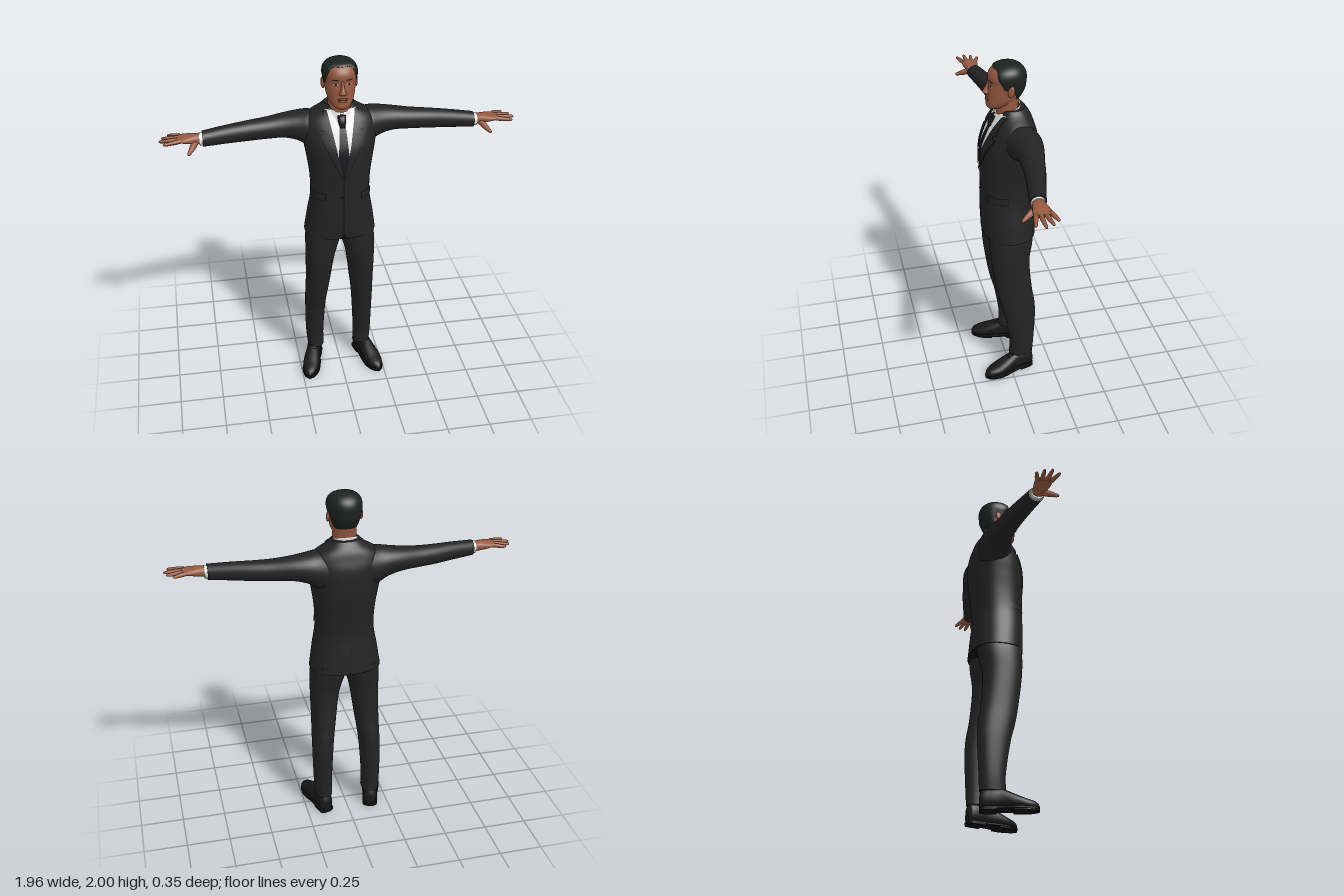
import * as THREE from 'three';

const mat = (name, color) => Object.assign(new THREE.MeshStandardMaterial({ color }), { name });
const M = {
  suit: mat('suit charcoal', 0x232323), seam: mat('seam black', 0x0e0e0e), shirt: mat('shirt white', 0xeeeeee),
  tie: mat('tie black', 0x15161a), skin: mat('skin brown', 0x96593f), lip: mat('lip brown', 0x7c4237),
  hair: mat('hair black', 0x1d2120), eye: mat('eye white', 0xb9aaa0), shoe: mat('shoe black', 0x181818),
};
M.shirt.side = THREE.DoubleSide;
M.suit.side = THREE.DoubleSide;

// Grid surface from f(u, v); wrapped in u and capped unless told otherwise
function surf(nu, nv, f, wrap = true) {
  const pos = [], idx = [], w = wrap ? nu : nu + 1;
  for (let j = 0; j <= nv; j++) for (let i = 0; i < w; i++) pos.push(...f(i / nu, j / nv));
  for (let j = 0; j < nv; j++) for (let i = 0; i < nu; i++) {
    const a = j * w + i, b = j * w + (i + 1) % w;
    idx.push(a, b, b + w, a, b + w, a + w);
  }
  if (wrap) for (const j of [0, nv]) {
    const base = pos.length / 3, c = [0, 0, 0];
    for (let i = 0; i < w; i++) for (let k = 0; k < 3; k++) {
      const q = pos[(j * w + i) * 3 + k];
      pos.push(q);
      c[k] += q / w;
    }
    pos.push(...c);
    for (let i = 0; i < w; i++) {
      const a = base + i, b = base + (i + 1) % w;
      j ? idx.push(base + w, a, b) : idx.push(base + w, b, a);
    }
  }
  const g = new THREE.BufferGeometry();
  g.setAttribute('position', new THREE.Float32BufferAttribute(pos, 3));
  g.setIndex(idx);
  g.computeVertexNormals();
  return g;
}

// Smooth interpolation of section rows [s, a0, a1, b0, b1]
function sample(rows, s) {
  const n = rows.length - 1;
  let i = 0;
  while (i < n - 1 && s > rows[i + 1][0]) i++;
  const h = rows[i + 1][0] - rows[i][0], t = Math.min(1, Math.max(0, (s - rows[i][0]) / h));
  const slope = (k, c) => {
    const p = rows[Math.max(0, k - 1)], q = rows[Math.min(n, k + 1)];
    return (q[c] - p[c]) / (q[0] - p[0]);
  };
  return [1, 2, 3, 4].map(c => rows[i][c] * (1 + 2 * t) * (1 - t) ** 2 + rows[i + 1][c] * t * t * (3 - 2 * t)
    + h * (slope(i, c) * t * (1 - t) ** 2 + slope(i + 1, c) * t * t * (t - 1)));
}

// Body with superellipse sections along an axis (0 x, 1 y, 2 z); a and b are the next two axes
function body(axis, p, rows) {
  const A = (axis + 1) % 3, B = (axis + 2) % 3;
  const pw = c => Math.sign(c) * Math.abs(c) ** (2 / p);
  const at = (th, s, off = 0) => {
    const [a0, a1, b0, b1] = sample(rows, s), q = [0, 0, 0];
    q[axis] = s;
    q[A] = (a0 + a1) / 2 + ((a1 - a0) / 2 + off) * pw(Math.cos(th));
    q[B] = (b0 + b1) / 2 + ((b1 - b0) / 2 + off) * pw(Math.sin(th));
    return q;
  };
  const s0 = rows[0][0], s1 = rows[rows.length - 1][0];
  return {
    at,
    geo: (nu = 40, nv = 30, e0 = s0, e1 = s1) => surf(nu, nv, (u, v) => at(u * 2 * Math.PI, e0 + (e1 - e0) * v)),
    // Plate on the front between two x curves
    front: (y0, y1, xl, xr, off, nu = 8, nv = 28) => surf(nu, nv, (u, v) => {
      const y = y0 + (y1 - y0) * v, [z0, z1, , rx] = sample(rows, y), x = xl(y) + (xr(y) - xl(y)) * u;
      const k = Math.max(0, 1 - Math.abs(x / (rx + off)) ** p) ** (1 / p);
      return [x, y, (z0 + z1) / 2 + ((z1 - z0) / 2 + off) * k];
    }, false),
    // Plate wrapped between two angles in degrees, 0 at the front
    wrap: (t0, t1, y0, y1, off) => surf(16, 10, (u, v) => at((t0 + (t1 - t0) * u) * Math.PI / 180, y0 + (y1 - y0) * v, off), false),
  };
}

function mirrored(g) {
  const m = g.clone().scale(-1, 1, 1), ix = m.index.array;
  for (let i = 0; i < ix.length; i += 3) [ix[i], ix[i + 1]] = [ix[i + 1], ix[i]];
  m.computeVertexNormals();
  return m;
}

// Linear lookup in [x, y] pairs
function lookup(tab, x) {
  let i = 0;
  while (i < tab.length - 2 && x > tab[i + 1][0]) i++;
  return THREE.MathUtils.mapLinear(x, tab[i][0], tab[i + 1][0], tab[i][1], tab[i + 1][1]);
}

// Tapered round-ended digit between two points
function digit(from, to, r0, r1) {
  const a = new THREE.Vector3(...from), d = new THREE.Vector3(...to).sub(a), L = d.length();
  const prof = [[r0, 0], [r0 * 0.95, 0.4], [r1, 0.85], [r1 * 0.75, 0.95], [0.0001, 1]].map(([r, t]) => new THREE.Vector2(r, t * L));
  return new THREE.LatheGeometry(prof, 12)
    .applyQuaternion(new THREE.Quaternion().setFromUnitVectors(new THREE.Vector3(0, 1, 0), d.normalize())).translate(...from);
}

export function createModel() {
  const root = new THREE.Group();
  root.name = 'suitedMan';
  const add = (name, geo, m) => {
    const mesh = new THREE.Mesh(geo, m);
    mesh.name = name;
    root.add(mesh);
  };
  const both = (name, geo, m) => { add(name + 'Left', geo, m); add(name + 'Right', mirrored(geo), m); };

  // Jacket
  const torso = body(1, 2.3, [
    [0.965, -0.165, 0.135, -0.205, 0.205], [1.08, -0.155, 0.14, -0.188, 0.188], [1.2, -0.145, 0.14, -0.168, 0.168],
    [1.32, -0.156, 0.14, -0.17, 0.17], [1.43, -0.17, 0.14, -0.185, 0.185], [1.52, -0.173, 0.13, -0.2, 0.2],
    [1.6, -0.168, 0.1, -0.205, 0.205], [1.655, -0.152, 0.072, -0.195, 0.195], [1.69, -0.14, 0.052, -0.155, 0.155],
    [1.715, -0.125, 0.04, -0.11, 0.11], [1.742, -0.105, 0.028, -0.082, 0.082]]);
  add('jacket', torso.geo(64, 60), M.suit);
  const vEdge = y => 0.004 + Math.max(0, y - 1.355) * 0.2;
  const lapelTab = [[1.355, 0.006], [1.45, 0.055], [1.6, 0.125], [1.612, 0.09], [1.618, 0.09], [1.622, 0.115], [1.7, 0.098], [1.725, 0.09]];
  const lapel = y => Math.max(vEdge(y) + 0.001, lookup(lapelTab, y));
  both('lapel', torso.front(1.355, 1.72, vEdge, lapel, 0.009, 8, 60), M.suit);
  both('lapelSeam', torso.front(1.355, 1.715, vEdge, y => lapel(y) + 0.005, 0.004, 8, 60), M.seam);
  add('frontOpening', torso.front(0.966, 1.355, y => -0.003 - 12 * Math.max(0, 1.01 - y) ** 2, y => 0.002 + 12 * Math.max(0, 1.01 - y) ** 2, 0.002), M.seam);
  both('pocketShadow', torso.wrap(33, 84, 1.208, 1.254, 0.002), M.seam);
  both('pocketFlap', torso.wrap(34, 83, 1.213, 1.251, 0.005), M.suit);
  add('backVent', torso.wrap(179.9, 180.1, 0.967, 1.18, 0.002), M.seam);
  add('hemEdge', torso.geo(64, 1, 0.962, 0.965), M.seam);
  add('button', new THREE.SphereGeometry(0.009, 12, 8).scale(1, 1, 0.4).translate(-0.012, 1.235, 0.142), M.seam);

  // Shirt front and tie
  add('shirtFront', torso.front(1.36, 1.72, y => -vEdge(y) - 0.01, y => vEdge(y) + 0.01, 0.003), M.shirt);
  const tieWidth = y => Math.min(vEdge(y) + 0.004, lookup([[1.36, 0.02], [1.48, 0.03], [1.66, 0.016]], y));
  add('tieBlade', torso.front(1.36, 1.66, y => -tieWidth(y), tieWidth, 0.007), M.tie);
  add('tieKnot', body(1, 2.6, [[1.635, 0.05, 0.096, -0.015, 0.015], [1.67, 0.04, 0.092, -0.022, 0.022],
    [1.698, 0.03, 0.076, -0.024, 0.024]]).geo(20, 8), M.tie);

  // Shirt collar, lower and pointed in front
  both('shirtCollar', surf(36, 6, (u, v) => {
    const th = (6 + 174 * u) * Math.PI / 180, c = Math.cos(th), flare = 1 - v;
    const top = 1.738 - 0.024 * c, drop = 0.042 + 0.03 * Math.exp(-(((th - 0.42) / 0.35) ** 2));
    return [(0.071 + 0.012 * flare) * Math.sin(th), top - drop * flare, -0.013 + (0.07 + 0.026 * flare * Math.max(0, c)) * c];
  }, false), M.shirt);

  // Arms, cuffs and hands
  both('sleeve', body(0, 2.1, [
    [0.1, 1.45, 1.68, -0.15, 0.05], [0.17, 1.48, 1.69, -0.158, 0.042], [0.22, 1.515, 1.685, -0.156, 0.024],
    [0.3, 1.538, 1.674, -0.142, 0.008], [0.4, 1.543, 1.662, -0.118, 0.008], [0.5, 1.545, 1.656, -0.096, 0.016],
    [0.62, 1.55, 1.65, -0.064, 0.034], [0.75, 1.554, 1.64, -0.03, 0.056]]).geo(32, 40), M.suit);
  both('cuff', body(0, 2.1, [[0.73, 1.561, 1.634, -0.024, 0.05], [0.766, 1.563, 1.633, -0.02, 0.052]]).geo(28, 2), M.shirt);
  both('palm', body(0, 2.4, [
    [0.75, 1.573, 1.625, -0.012, 0.044], [0.79, 1.576, 1.63, -0.018, 0.054], [0.84, 1.588, 1.627, -0.027, 0.066],
    [0.87, 1.596, 1.622, -0.026, 0.066], [0.885, 1.602, 1.618, -0.018, 0.058]]).geo(24, 16), M.skin);
  [[0.865, -0.018, 0.935, -0.043], [0.87, 0.008, 0.968, -0.008], [0.872, 0.034, 0.982, 0.033], [0.868, 0.056, 0.96, 0.08]]
    .forEach(([x0, z0, x1, z1], i) => both('finger' + i, digit([x0, 1.61, z0], [x1, 1.605, z1], 0.0125, 0.0085), M.skin));
  both('thumb', digit([0.785, 1.592, 0.032], [0.832, 1.552, 0.115], 0.018, 0.01), M.skin);

  // Trousers
  both('trouserLeg', body(1, 2.3, [
    [0.112, -0.137, 0.008, 0.094, 0.193], [0.2, -0.141, 0.004, 0.095, 0.2], [0.4, -0.15, 0.034, 0.085, 0.203],
    [0.5, -0.146, 0.06, 0.076, 0.202], [0.6, -0.13, 0.08, 0.062, 0.2], [0.8, -0.116, 0.108, 0.034, 0.201],
    [0.92, -0.135, 0.115, 0, 0.2], [1, -0.145, 0.115, -0.02, 0.19]]).geo(36, 40), M.suit);

  // Shoes, turned outward
  const place = g => g.rotateY(0.27).translate(0.148, 0, -0.075);
  const outline = [[-0.062, 0.022], [-0.052, 0.038], [0, 0.043], [0.05, 0.042], [0.12, 0.05], [0.18, 0.05], [0.222, 0.038], [0.245, 0.023], [0.256, 0.006]];
  const tops = [0.08, 0.115, 0.128, 0.128, 0.1, 0.074, 0.06, 0.048, 0.03];
  both('shoeUpper', place(body(2, 2.2, outline.map(([z, r], i) => [z, 0.003 - r, r, 0.008, tops[i]])).geo(28, 36)), M.shoe);
  both('shoeSole', place(body(2, 7, outline.map(([z, r]) => [z, -r - 0.002, r + 0.004, 0.008, 0.022])).geo(28, 30)), M.seam);
  both('shoeHeel', place(body(2, 7, outline.slice(0, 4).map(([z, r]) => [z, -r - 0.002, r + 0.004, 0, 0.02])).geo(28, 10, -0.062, 0.03)), M.seam);
  both('shoeFront', place(body(2, 7, outline.slice(4).map(([z, r]) => [z, -r, r + 0.002, 0, 0.012])).geo(28, 10)), M.seam);
  for (let i = 0; i < 3; i++)
    both('lace' + i, place(new THREE.CapsuleGeometry(0.004, 0.03, 4, 8).rotateZ(Math.PI / 2).translate(0, 0.118 - 0.011 * i, 0.076 + 0.019 * i)), M.seam);

  // Neck and head
  add('neck', body(1, 2, [[1.66, -0.08, 0.045, -0.07, 0.07], [1.74, -0.07, 0.05, -0.066, 0.066],
    [1.82, -0.082, 0.05, -0.068, 0.068]]).geo(32, 10), M.skin);
  const head = body(1, 2.15, [
    [1.742, 0.04, 0.09, -0.024, 0.024], [1.757, 0, 0.103, -0.047, 0.047], [1.78, -0.045, 0.103, -0.065, 0.065],
    [1.81, -0.08, 0.1, -0.076, 0.076], [1.85, -0.1, 0.097, -0.083, 0.083], [1.89, -0.106, 0.09, -0.087, 0.087],
    [1.93, -0.107, 0.092, -0.089, 0.089], [1.96, -0.096, 0.077, -0.081, 0.081], [1.98, -0.076, 0.052, -0.063, 0.063],
    [1.993, -0.05, 0.02, -0.036, 0.036], [2, -0.018, -0.012, -0.003, 0.003]]);
  add('head', head.geo(48, 50, 1.742, 1.988), M.skin);
  const hairline = [[0, 1.973], [30, 1.974], [44, 1.966], [54, 1.935], [66, 1.9], [76, 1.872], [88, 1.866], [100, 1.88], [120, 1.82], [140, 1.79], [180, 1.785]];
  add('hair', surf(96, 28, (u, v) => {
    const y0 = lookup(hairline, 360 * Math.min(u, 1 - u));
    return head.at(u * 2 * Math.PI, y0 + (2 - y0) * (1 - (1 - v) ** 1.6), 0.002 + 0.006 * Math.min(1, v * 4));
  }), M.hair);

  // Face
  add('nose', body(1, 2, [[1.826, 0.08, 0.104, -0.016, 0.016], [1.836, 0.08, 0.122, -0.021, 0.021],
    [1.85, 0.08, 0.119, -0.015, 0.015], [1.875, 0.07, 0.105, -0.009, 0.009], [1.905, 0.07, 0.092, -0.008, 0.008]]).geo(24, 16), M.skin);
  const oval = (name, cx, cy, rx, ry, off, m) => {
    const half = y => rx * Math.sqrt(Math.max(0, 1 - ((y - cy) / ry) ** 2));
    both(name, head.front(cy - ry, cy + ry, y => cx - half(y), y => cx + half(y), off, 8, 10), m);
  };
  oval('eyelid', 0.036, 1.886, 0.02, 0.01, 0.001, M.lip);
  oval('eye', 0.036, 1.885, 0.015, 0.006, 0.002, M.eye);
  oval('iris', 0.036, 1.885, 0.007, 0.006, 0.003, M.hair);
  oval('eyebrow', 0.037, 1.909, 0.021, 0.004, 0.002, M.hair);
  add('upperLip', new THREE.SphereGeometry(1, 20, 12).scale(0.028, 0.006, 0.011).translate(0, 1.805, 0.097), M.lip);
  add('lowerLip', new THREE.SphereGeometry(1, 20, 12).scale(0.024, 0.007, 0.012).translate(0, 1.795, 0.097), M.lip);
  both('ear', new THREE.SphereGeometry(1, 16, 14).scale(0.009, 0.032, 0.019).rotateY(-0.3).rotateX(-0.15).translate(0.091, 1.864, -0.014), M.skin);
  return root;
}
